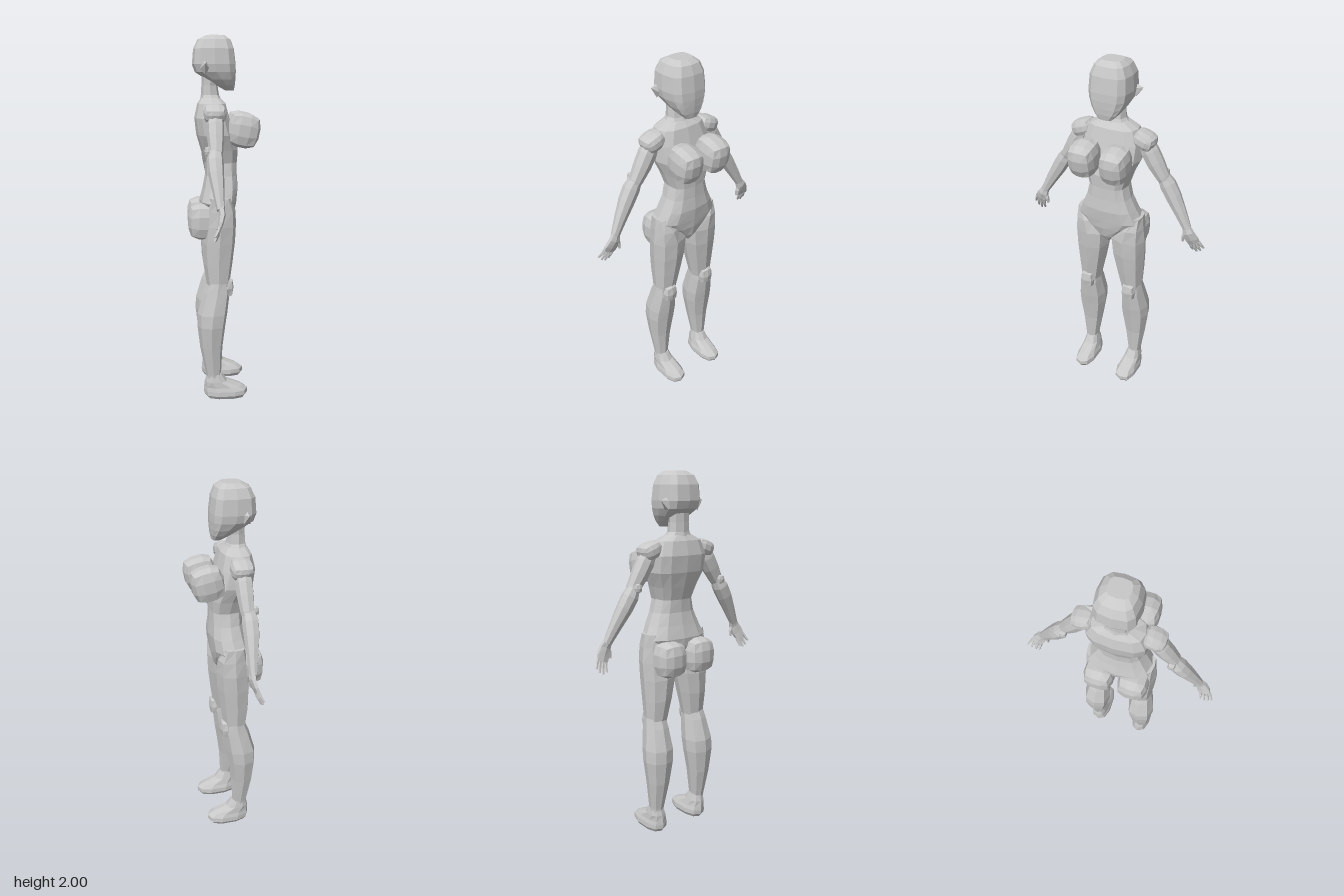
import * as THREE from 'three';

const skin = new THREE.MeshStandardMaterial({ color: 0xc8c8c8, flatShading: true });
skin.name = 'plain grey';

function add(group, name, geometry) {
  const mesh = new THREE.Mesh(geometry, skin);
  mesh.name = name;
  group.add(mesh);
  return mesh;
}

// Skin over rings along a path; each row is [xBack, xFront, y, z, halfWidth].
// "square" below 1 makes the ring boxier.
function loft(rows, sides = 8, square = 0.8) {
  const centre = (r) => new THREE.Vector3((r[0] + r[1]) / 2, r[2], r[3]);
  const first = centre(rows[0]), last = centre(rows[rows.length - 1]);
  const along = last.clone().sub(first).setX(0).normalize();
  const across = along.clone().cross(new THREE.Vector3(1, 0, 0));
  const bend = (v) => Math.sign(v) * Math.pow(Math.abs(v), square);
  const pos = [], index = [];
  for (const r of rows) {
    const c = centre(r);
    for (let j = 0; j < sides; j++) {
      const a = (j / sides) * Math.PI * 2;
      const p = c.clone().addScaledVector(across, r[4] * bend(Math.sin(a)));
      p.x += ((r[1] - r[0]) / 2) * bend(Math.cos(a));
      pos.push(p.x, p.y, p.z);
    }
  }
  const n = rows.length * sides;
  pos.push(...first.toArray(), ...last.toArray());
  for (let j = 0; j < sides; j++) {
    const k = (j + 1) % sides, e = n - sides;
    for (let i = 0; i < e; i += sides) {
      index.push(i + j, i + k, i + sides + k, i + j, i + sides + k, i + sides + j);
    }
    index.push(n, k, j, n + 1, e + j, e + k);
  }
  const g = new THREE.BufferGeometry();
  g.setAttribute('position', new THREE.Float32BufferAttribute(pos, 3));
  g.setIndex(index);
  const flat = g.toNonIndexed();
  flat.computeVertexNormals();
  return flat;
}

// Box blown up towards a ball, for the faceted round masses
function puff(rx, ry, rz, seg = 3, round = 0.75) {
  const g = new THREE.BoxGeometry(2, 2, 2, seg, seg, seg);
  const p = g.attributes.position, v = new THREE.Vector3();
  for (let i = 0; i < p.count; i++) {
    v.fromBufferAttribute(p, i);
    v.lerp(v.clone().normalize(), round);
    p.setXYZ(i, v.x * rx, v.y * ry, v.z * rz);
  }
  const flat = g.toNonIndexed();
  flat.computeVertexNormals();
  return flat;
}

function buildSide(s, label) {
  const side = new THREE.Group();
  side.name = label + 'Side';
  const limb = (name, rows, sides, square) =>
    add(side, name, loft(rows.map(([a, b, y, z, w]) => [a, b, y, z * s, w]), sides, square));
  const ball = (name, x, y, z, ...size) => {
    const m = add(side, name, puff(...size));
    m.position.set(x, y, z * s);
    return m;
  };

  // Rounded masses
  const breast = ball('breast', 0.105, 1.505, 0.09, 0.092, 0.098, 0.076);
  breast.rotation.z = -0.2;
  ball('buttock', -0.11, 1.015, 0.098, 0.092, 0.105, 0.09);
  const cap = ball('shoulderCap', -0.053, 1.598, 0.178, 0.062, 0.046, 0.064);
  cap.rotation.x = s * 0.35;
  ball('kneecap', 0.015, 0.645, 0.135, 0.036, 0.058, 0.043, 2);

  // Ear, flaring outward
  const ear = add(side, 'ear', new THREE.ConeGeometry(0.035, 0.05, 5));
  ear.scale.set(0.8, 1, 1.2);
  ear.rotation.set(s * 1.25, 0, 0);
  ear.position.set(-0.1, 1.845, s * 0.115);

  // Leg
  limb('thigh', [
    [-0.08, 0.03, 1.15, 0.165, 0.025],
    [-0.1, 0.06, 1.08, 0.13, 0.07],
    [-0.11, 0.065, 1.0, 0.11, 0.098],
    [-0.12, 0.06, 0.9, 0.113, 0.092],
    [-0.115, 0.045, 0.78, 0.122, 0.076],
    [-0.1, 0.03, 0.68, 0.13, 0.062],
    [-0.09, 0.02, 0.62, 0.135, 0.055],
  ]);
  limb('lowerLeg', [
    [-0.085, 0.02, 0.69, 0.135, 0.055],
    [-0.115, 0.03, 0.62, 0.137, 0.064],
    [-0.15, 0.016, 0.5, 0.142, 0.08],
    [-0.152, 0.005, 0.43, 0.145, 0.079],
    [-0.137, -0.012, 0.3, 0.148, 0.06],
    [-0.105, -0.02, 0.14, 0.15, 0.037],
    [-0.1, -0.02, 0.08, 0.15, 0.034],
  ]);
  limb('foot', [
    [-0.1, -0.015, 0.145, 0.148, 0.035],
    [-0.112, 0.015, 0.1, 0.146, 0.046],
    [-0.116, 0.1, 0.066, 0.143, 0.052],
    [-0.118, 0.13, 0.045, 0.142, 0.06],
    [-0.115, 0.13, 0.02, 0.142, 0.062],
    [-0.1, 0.115, 0, 0.142, 0.05],
  ], 10);

  // Arm
  limb('upperArm', [
    [-0.09, -0.015, 1.6, 0.175, 0.035],
    [-0.1, -0.008, 1.54, 0.208, 0.047],
    [-0.098, -0.01, 1.48, 0.243, 0.045],
    [-0.09, -0.018, 1.41, 0.287, 0.035],
    [-0.08, -0.025, 1.38, 0.305, 0.026],
  ]);
  limb('forearm', [
    [-0.09, -0.025, 1.425, 0.28, 0.028],
    [-0.105, -0.018, 1.37, 0.312, 0.042],
    [-0.1, -0.018, 1.31, 0.348, 0.041],
    [-0.082, -0.02, 1.23, 0.395, 0.033],
    [-0.062, -0.022, 1.14, 0.445, 0.023],
  ]);
  ball('elbow', -0.095, 1.415, 0.285, 0.02, 0.025, 0.02, 2);

  // Hand: palm, four fingers and a thumb
  limb('palm', [
    [-0.057, -0.024, 1.16, 0.435, 0.022],
    [-0.053, -0.018, 1.12, 0.454, 0.033],
    [-0.06, -0.03, 1.08, 0.474, 0.039],
    [-0.066, -0.042, 1.055, 0.485, 0.034],
  ], 6);
  [[0.508, 1.072, 0.534, 1.025], [0.495, 1.06, 0.516, 1.003],
    [0.479, 1.055, 0.495, 0.992], [0.463, 1.05, 0.472, 0.998]].forEach(([z0, y0, z1, y1], i) => {
    limb('finger' + (i + 1), [
      [-0.062, -0.042, y0, z0, 0.0095],
      [-0.07, -0.051, (y0 + y1) / 2, (z0 + z1) / 2, 0.009],
      [-0.082, -0.069, y1, z1, 0.006],
    ], 5, 1);
  });
  limb('thumb', [
    [-0.05, -0.025, 1.125, 0.442, 0.013],
    [-0.048, -0.024, 1.09, 0.428, 0.012],
    [-0.046, -0.03, 1.06, 0.424, 0.006],
  ], 5, 1);
  return side;
}

export function createModel() {
  const figure = new THREE.Group();
  figure.name = 'figure';

  // Head tapers to a chin that sits forward of the neck
  add(figure, 'head', loft([
    [-0.09, 0.01, 2.0, 0, 0.055],
    [-0.135, 0.042, 1.978, 0, 0.085],
    [-0.158, 0.06, 1.93, 0, 0.106],
    [-0.165, 0.07, 1.85, 0, 0.112],
    [-0.15, 0.071, 1.81, 0, 0.106],
    [-0.09, 0.069, 1.772, 0, 0.088],
    [-0.035, 0.066, 1.74, 0, 0.065],
    [0.015, 0.06, 1.712, 0, 0.035],
  ], 12, 0.62));

  add(figure, 'neck', loft([
    [-0.115, -0.01, 1.82, 0, 0.062],
    [-0.115, -0.028, 1.74, 0, 0.056],
    [-0.118, -0.02, 1.69, 0, 0.06],
    [-0.13, 0.005, 1.64, 0, 0.1],
  ]));

  add(figure, 'chest', loft([
    [-0.118, -0.015, 1.675, 0, 0.07],
    [-0.138, 0.015, 1.645, 0, 0.135],
    [-0.155, 0.035, 1.57, 0, 0.165],
    [-0.145, 0.06, 1.48, 0, 0.162],
    [-0.122, 0.083, 1.4, 0, 0.128],
    [-0.1, 0.08, 1.33, 0, 0.107],
  ], 12, 0.7));

  // Waist, widening to the hips and closing in a V at the crotch
  add(figure, 'waistAndPelvis', loft([
    [-0.1, 0.075, 1.34, 0, 0.105],
    [-0.098, 0.078, 1.26, 0, 0.125],
    [-0.112, 0.084, 1.19, 0, 0.157],
    [-0.13, 0.076, 1.12, 0, 0.19],
    [-0.125, 0.07, 1.07, 0, 0.135],
    [-0.1, 0.055, 1.01, 0, 0.055],
    [-0.06, 0.03, 0.97, 0, 0.015],
  ], 12, 0.75));

  figure.add(buildSide(1, 'positiveZ'), buildSide(-1, 'negativeZ'));
  return figure;
}
